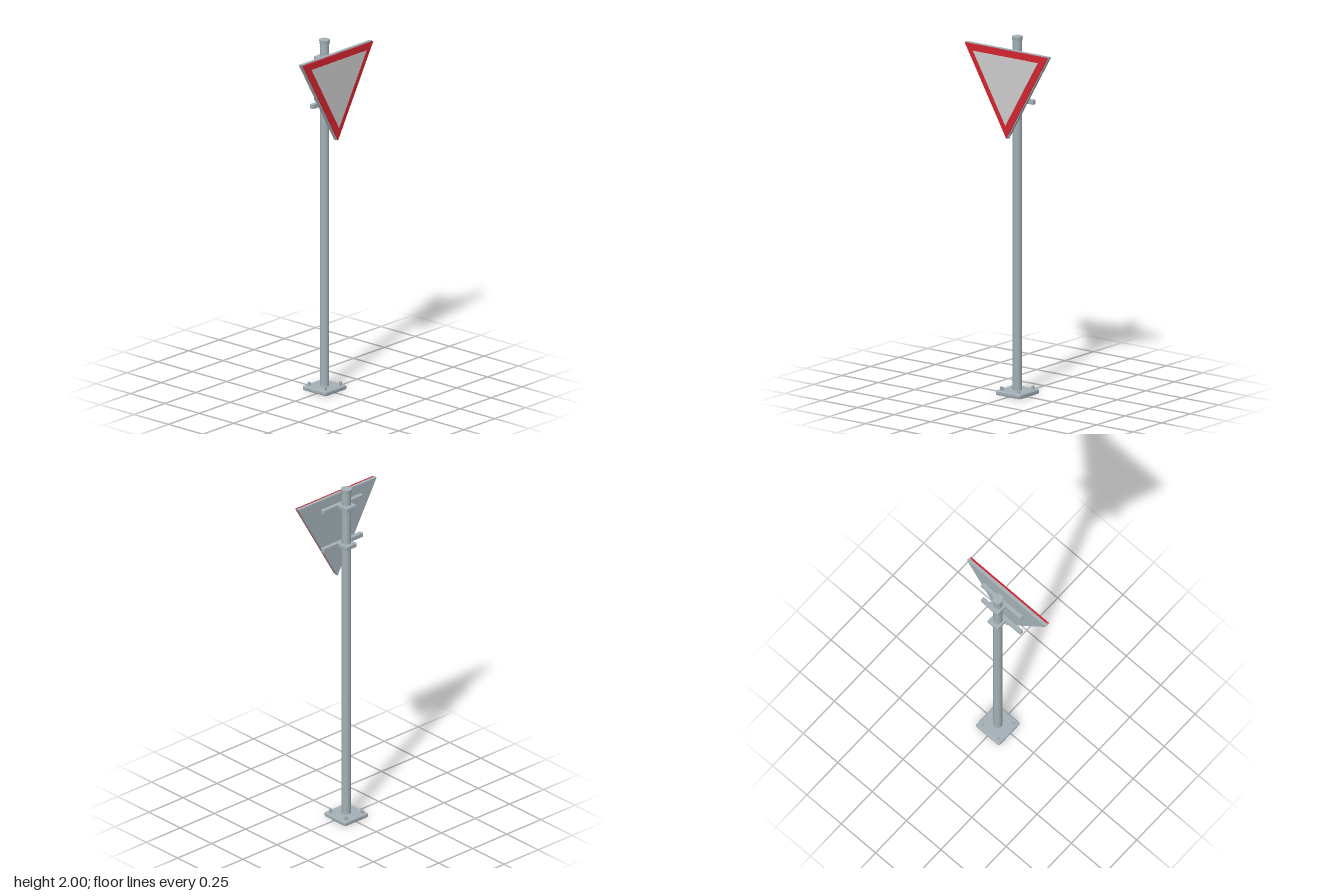
import * as THREE from 'three';
import { RoundedBoxGeometry } from 'three/addons/geometries/RoundedBoxGeometry.js';

const POLE_Z = -0.0115;

export function createModel() {
  const group = new THREE.Group();
  const metal = new THREE.MeshStandardMaterial({ color: 0xa3b0b6 });
  const red = new THREE.MeshStandardMaterial({ color: 0xd42530 });
  const grey = new THREE.MeshStandardMaterial({ color: 0xcccccc });

  const add = (name, geometry, material, x, y, z) => {
    const mesh = new THREE.Mesh(geometry, material);
    mesh.name = name;
    mesh.position.set(x, y, z);
    group.add(mesh);
    return mesh;
  };

  // Base plate with four hexagonal bolts
  add('basePlate', new RoundedBoxGeometry(0.171, 0.026, 0.171, 3, 0.008), metal, 0, 0.013, POLE_Z);
  const boltGeometry = new THREE.CylinderGeometry(0.0085, 0.0085, 0.025, 6).toNonIndexed();
  boltGeometry.computeVertexNormals();
  for (const sx of [-1, 1]) {
    for (const sz of [-1, 1]) {
      add('bolt', boltGeometry, metal, sx * 0.06, 0.0325, POLE_Z + sz * 0.0605);
    }
  }

  // Pole and slightly flared cap
  add('pole', new THREE.CylinderGeometry(0.025, 0.025, 1.96, 40), metal, 0, 1.0, POLE_Z);
  add('poleCap', new THREE.CylinderGeometry(0.03, 0.027, 0.024, 40), metal, 0, 1.988, POLE_Z);

  // Clamps around the pole, each with a horizontal bar behind the sign
  for (const y of [1.893, 1.66]) {
    add('clamp', new RoundedBoxGeometry(0.075, 0.024, 0.085, 2, 0.003), metal, 0, y, POLE_Z - 0.001);
    add('crossbar', new RoundedBoxGeometry(0.288, 0.026, 0.024, 2, 0.003), metal, 0, y, 0.0225);
  }

  // Downward-pointing triangular plates, layered from back to front
  const plate = (name, halfWidth, back, depth, material) => {
    const r = halfWidth / Math.cos(Math.PI / 6);
    const shape = new THREE.Shape([
      new THREE.Vector2(-halfWidth, r / 2),
      new THREE.Vector2(0, -r),
      new THREE.Vector2(halfWidth, r / 2),
    ]);
    const geometry = new THREE.ExtrudeGeometry(shape, { depth, bevelEnabled: false });
    add(name, geometry, material, 0, 1.776, back);
  };
  plate('signBacking', 0.288, 0.058, 0.018, metal);
  plate('signBorder', 0.285, 0.081, 0.006, red);
  plate('signFace', 0.222, 0.092, 0.003, grey);

  return group;
}
